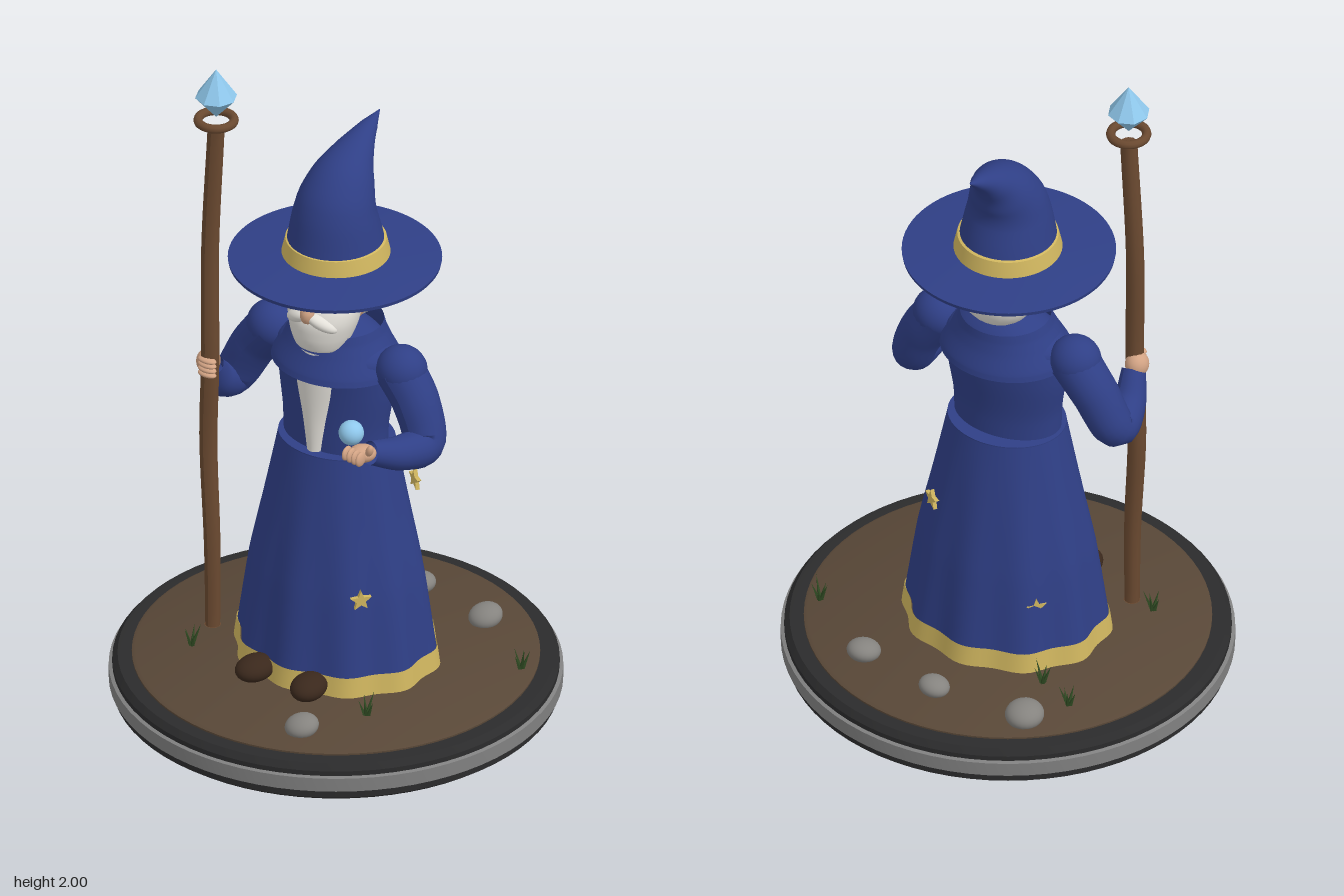
import * as THREE from 'three';
import { toCreasedNormals } from 'three/addons/utils/BufferGeometryUtils.js';

const C = { blue: 0x2f3f86, gold: 0xd0b65f, white: 0xe2dfd8, skin: 0xd2a384, wood: 0x6a4930, boot: 0x3a281c,
  soil: 0x584737, black: 0x2b2b2c, grey: 0x808080, gem: 0x8fc8ec, rock: 0x85837f, grass: 0x2f4a22, dark: 0x2a2220 };
const V = (x, y, z) => new THREE.Vector3(x, y, z);

export function createModel() {
  const model = new THREE.Group();
  model.name = 'wizardFigure';

  function add(name, geometry, color, options = {}) {
    const mesh = new THREE.Mesh(geometry, new THREE.MeshStandardMaterial({ color, ...options }));
    mesh.name = name;
    model.add(mesh);
    return mesh;
  }

  // Ellipsoid part
  function blob(name, color, pos, size, rot = [0, 0, 0]) {
    const mesh = add(name, new THREE.SphereGeometry(1, 24, 16), color);
    mesh.position.set(...pos);
    mesh.scale.set(...size);
    mesh.rotation.set(...rot);
    return mesh;
  }

  function lathe(name, color, points, options) {
    const geo = new THREE.LatheGeometry(points.map(p => new THREE.Vector2(...p)), 72);
    return add(name, toCreasedNormals(geo, 0.6), color, options);
  }

  // Smooth loft from bottom to top; rows are [y, z centre, x radius, z radius, tilt]
  function loft(name, color, rows, { steps = 24, n = 60, fold = () => 1, double = false } = {}) {
    const place = new THREE.CatmullRomCurve3(rows.map(r => V(r[0], r[1], r[4] || 0)));
    const size = new THREE.CatmullRomCurve3(rows.map(r => V(r[2], r[3], 0)));
    const pos = [], index = [];
    for (let i = 0; i <= steps; i++) {
      const t = i / steps, p = place.getPoint(t), s = size.getPoint(t);
      for (let j = 0; j < n; j++) {
        const a = j / n * Math.PI * 2, f = fold(a, t);
        const x = Math.sin(a) * s.x * f, z = Math.cos(a) * s.y * f;
        pos.push(x, p.x + z * Math.sin(p.z), p.y + z * Math.cos(p.z));
        if (i === steps) continue;
        const k = (j + 1) % n, b = i * n;
        index.push(b + j, b + k, b + n + k, b + j, b + n + k, b + n + j);
      }
    }
    const geo = new THREE.BufferGeometry();
    geo.setAttribute('position', new THREE.Float32BufferAttribute(pos, 3));
    geo.setIndex(index);
    geo.computeVertexNormals();
    return add(name, geo, color, double ? { side: THREE.DoubleSide } : {});
  }

  // Tube whose thickness follows a list of radii
  function limb(name, color, points, radii, sides = 20) {
    const curve = new THREE.CatmullRomCurve3(points.map(p => V(...p)));
    const seg = 32, geo = new THREE.TubeGeometry(curve, seg, 1, sides);
    const pos = geo.attributes.position, v = V(0, 0, 0);
    for (let i = 0; i < pos.count; i++) {
      const t = Math.floor(i / (sides + 1)) / seg, c = curve.getPointAt(t);
      const k = Math.min(t * (radii.length - 1), radii.length - 1.0001), m = Math.floor(k);
      v.fromBufferAttribute(pos, i).sub(c).multiplyScalar(THREE.MathUtils.lerp(radii[m], radii[m + 1], k - m)).add(c);
      pos.setXYZ(i, v.x, v.y, v.z);
    }
    geo.computeVertexNormals();
    return add(name, geo, color, { side: THREE.DoubleSide });
  }

  // Round stand with soil on top
  lathe('base', C.black, [[0, 0], [0.61, 0], [0.63, 0.015], [0.63, 0.1], [0.615, 0.118], [0.58, 0.12], [0, 0.12]]);
  lathe('baseBand', C.grey, [[0.625, 0.035], [0.64, 0.04], [0.64, 0.082], [0.625, 0.087]]);
  lathe('soil', C.soil, [[0.575, 0.1], [0.575, 0.125], [0.565, 0.13], [0, 0.13]]);

  // Rocks: x, z, radius
  for (const [x, z, r] of [[-0.285, -0.4, 0.058], [0, -0.415, 0.045], [0.255, -0.37, 0.05], [0.18, 0.425, 0.049]])
    blob('rock', C.rock, [x, 0.145, z], [r, r * 0.65, r * 0.95], [0.1, x * 5, 0.12]);

  // Grass tufts
  for (const [x, z] of [[-0.36, -0.285], [-0.245, -0.23], [0.49, -0.21], [-0.345, 0.215], [0.28, 0.25]])
    for (let i = 0; i < 5; i++) {
      const a = i * 1.26 + x * 9, h = 0.05 + (i % 3) * 0.012;
      const blade = add('grassBlade', new THREE.ConeGeometry(0.007, h, 4), C.grass, { flatShading: true });
      blade.position.set(x + Math.cos(a) * 0.014, 0.127 + h / 2, z + Math.sin(a) * 0.014);
      blade.rotation.set(Math.sin(a) * 0.35, 0, -Math.cos(a) * 0.35);
    }

  // Robe skirt with folds and gold hem
  const folds = (a, depth) => 1 + 0.028 * depth * Math.cos(10 * a);
  loft('skirt', C.blue, [[0.185, -0.005, 0.29, 0.25], [0.42, -0.005, 0.258, 0.22], [0.64, -0.005, 0.212, 0.183],
    [0.832, -0.005, 0.174, 0.148]], { n: 100, fold: (a, t) => folds(a, 1 - t) });
  loft('hem', C.gold, [[0.13, -0.005, 0.301, 0.261], [0.19, -0.005, 0.293, 0.253]],
    { n: 100, steps: 3, fold: a => folds(a, 1), double: true });
  const waist = add('skirtTop', new THREE.CylinderGeometry(0.174, 0.174, 0.008, 60), C.blue);
  waist.position.set(0, 0.831, -0.005);
  waist.scale.z = 0.85;

  // Boots
  for (const s of [-1, 1])
    blob('boot', C.boot, [s * 0.092, 0.165, 0.265], [0.05, 0.036, 0.065], [0, s * 0.15, 0]);

  // Torso, long beard and shoulder cape
  loft('torso', C.blue, [[0.82, 0, 0.162, 0.11], [0.9, 0, 0.165, 0.11], [1.02, -0.005, 0.182, 0.118],
    [1.12, -0.005, 0.185, 0.125], [1.18, -0.01, 0.13, 0.1], [1.22, -0.01, 0.06, 0.06]]);
  loft('longBeard', C.white, [[0.832, 0.08, 0.03, 0.045], [0.93, 0.08, 0.045, 0.05], [1.07, 0.08, 0.073, 0.055],
    [1.16, 0.07, 0.078, 0.06]], { n: 32 });
  loft('cape', C.blue, [[1.082, -0.007, 0.195, 0.17], [1.1, -0.008, 0.19, 0.165], [1.15, -0.01, 0.16, 0.142],
    [1.185, -0.012, 0.14, 0.13], [1.212, -0.013, 0.13, 0.125]], { double: true });

  // Neck, head and hair
  blob('neck', C.skin, [0, 1.21, -0.01], [0.06, 0.08, 0.06]);
  blob('face', C.skin, [0, 1.33, 0.018], [0.114, 0.13, 0.098]);
  blob('hair', C.white, [0, 1.325, -0.05], [0.118, 0.118, 0.11]);
  loft('beard', C.white, [[1.162, 0.085, 0.03, 0.03], [1.172, 0.08, 0.072, 0.06], [1.21, 0.07, 0.093, 0.08],
    [1.26, 0.06, 0.108, 0.088], [1.3, 0.05, 0.112, 0.075], [1.315, 0.045, 0.1, 0.05]], { n: 40 });
  limb('nose', C.skin, [[0, 1.365, 0.1], [0, 1.32, 0.13], [0, 1.28, 0.142], [0, 1.272, 0.115]], [0.012, 0.016, 0.021, 0.012]);
  for (const s of [-1, 1]) {
    blob('ear', C.skin, [s * 0.118, 1.31, -0.012], [0.014, 0.034, 0.024]);
    blob('eye', C.white, [s * 0.045, 1.333, 0.1], [0.021, 0.016, 0.016]);
    blob('pupil', C.dark, [s * 0.045, 1.333, 0.112], [0.009, 0.009, 0.007]);
    blob('eyebrow', C.white, [s * 0.05, 1.363, 0.105], [0.034, 0.01, 0.014], [0, s * 0.35, s * 0.2]);
    blob('moustache', C.white, [s * 0.04, 1.268, 0.125], [0.05, 0.02, 0.026], [0, s * 0.35, -s * 0.4]);
  }

  // Hat with wide brim, band and bent crown
  lathe('hatBrim', C.blue, [[0, 1.425], [0.14, 1.412], [0.3, 1.405], [0.302, 1.416], [0.15, 1.432], [0, 1.435]]).position.z = 0.005;
  loft('hatCrown', C.blue, [[1.42, 0, 0.148, 0.148], [1.49, 0.002, 0.135, 0.135], [1.58, 0.003, 0.117, 0.113, 0.08],
    [1.66, -0.032, 0.093, 0.09, 0.35], [1.722, -0.098, 0.056, 0.05, 0.75], [1.765, -0.165, 0.025, 0.022, 0.95],
    [1.79, -0.215, 0.001, 0.001, 1]], { steps: 36, n: 48 });
  lathe('hatBand', C.gold, [[0.155, 1.425], [0.153, 1.435], [0.143, 1.478], [0.13, 1.482]]);

  // Sleeves, from shoulder to wrist
  for (const s of [-1, 1])
    blob('shoulder', C.blue, [s * 0.222, 1.115, -0.005], [0.075, 0.073, 0.072]);
  limb('rightSleeve', C.blue, [[-0.215, 1.115, -0.005], [-0.285, 1.03, -0.01], [-0.347, 0.915, 0.01],
    [-0.342, 0.945, 0.09], [-0.325, 1.02, 0.145]], [0.072, 0.068, 0.063, 0.05, 0.034]);
  limb('leftSleeve', C.blue, [[0.215, 1.115, -0.005], [0.275, 1.03, 0], [0.318, 0.925, 0.025],
    [0.305, 0.928, 0.11], [0.268, 0.965, 0.215]], [0.072, 0.068, 0.062, 0.05, 0.034]);

  // Right hand gripping the staff
  blob('rightHand', C.skin, [-0.33, 1.035, 0.155], [0.034, 0.038, 0.036]);
  for (let i = 0; i < 4; i++)
    blob('rightFinger', C.skin, [-0.312, 1.013 + i * 0.015, 0.187], [0.03, 0.009, 0.016]);

  // Left hand, palm up beneath a floating orb
  blob('leftHand', C.skin, [0.258, 0.972, 0.238], [0.035, 0.026, 0.042], [-0.2, -0.3, 0]);
  for (let i = 0; i < 4; i++)
    blob('leftFinger', C.skin, [0.228 + i * 0.017, 0.978, 0.272 + i * 0.002], [0.009, 0.022, 0.022]);
  blob('leftThumb', C.skin, [0.29, 0.995, 0.25], [0.011, 0.022, 0.013], [0.3, 0, -0.4]);
  blob('orb', C.gem, [0.252, 1.06, 0.285], [0.036, 0.036, 0.036]);

  // Crooked staff with ring and crystal
  const staff = [[-0.308, 0.185, 0.165], [-0.31, 0.45, 0.165], [-0.328, 0.78, 0.158], [-0.316, 1.05, 0.166],
    [-0.322, 1.4, 0.158], [-0.3, 1.805, 0.16]];
  limb('staff', C.wood, staff, [0.022, 0.025, 0.027, 0.027, 0.026, 0.025], 10);
  for (const [p, y, up] of [[staff[0], 0.186, 1], [staff[5], 1.805, -1]]) {
    const cap = add('staffEnd', new THREE.CircleGeometry(0.024, 10), C.wood, { side: THREE.DoubleSide });
    cap.position.set(p[0], y, p[2]);
    cap.rotation.x = up * Math.PI / 2;
  }
  const ring = add('staffRing', new THREE.TorusGeometry(0.051, 0.013, 10, 32), C.wood);
  ring.position.set(-0.3, 1.835, 0.16);
  ring.rotation.x = Math.PI / 2;
  const crystal = add('crystal', new THREE.LatheGeometry([[0, 1.845], [0.06, 1.912], [0, 2]].map(p => new THREE.Vector2(...p)), 8),
    C.gem, { flatShading: true });
  crystal.position.set(-0.3, 0, 0.16);

  // Gold stars on the robe, facing outward
  const star = new THREE.Shape(Array.from({ length: 10 }, (_, i) => {
    const r = i % 2 ? 0.014 : 0.032, a = i * Math.PI / 5;
    return new THREE.Vector2(Math.sin(a) * r, Math.cos(a) * r);
  }));
  const starGeo = new THREE.ExtrudeGeometry(star, { depth: 0.012, bevelEnabled: false }).translate(0, 0, -0.006);
  for (const [x, y, z] of [[0.195, 0.43, 0.157], [0.125, 0.625, -0.21], [-0.186, 0.33, -0.165]]) {
    const mesh = add('star', starGeo, C.gold);
    mesh.position.set(x, y, z);
    mesh.rotation.y = Math.atan2(x, z);
  }
  return model;
}
